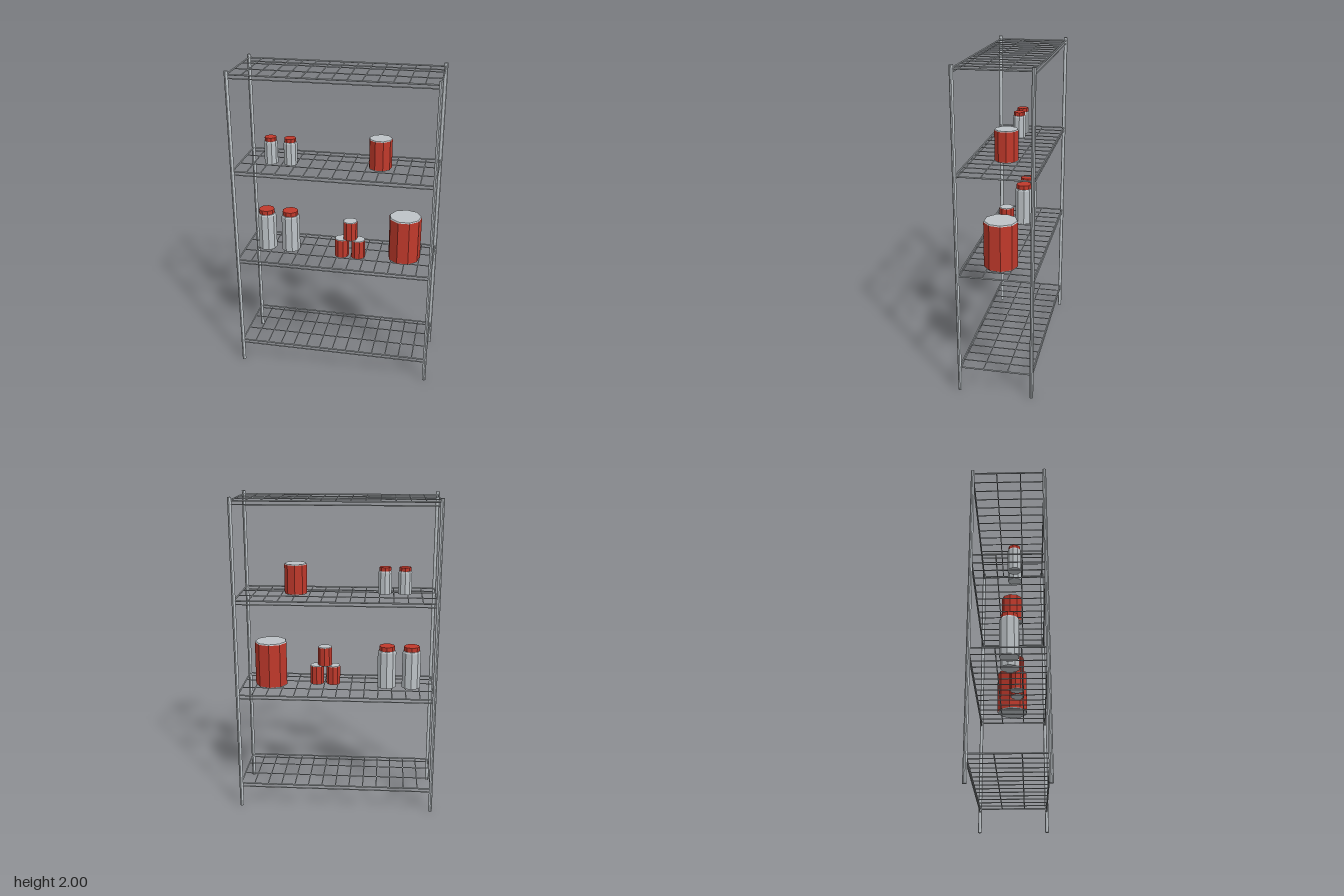
import * as THREE from 'three';

const makeMaterial = (name, color) => {
  const m = new THREE.MeshStandardMaterial({ color, flatShading: true });
  m.name = name;
  return m;
};

export function createModel() {
  const steel = makeMaterial('steel grey', 0xbdc3c7);
  const red = makeMaterial('red', 0xc0392b);
  const root = new THREE.Group();
  root.name = 'wireShelfUnit';

  const HX = 0.617, HZ = 0.223;          // post positions
  const SHELVES = [0.159, 0.771, 1.381, 1.979];
  const SIDES = 9;

  const add = (parent, name, geometry, material) => {
    const mesh = new THREE.Mesh(geometry, material);
    mesh.name = name;
    parent.add(mesh);
    return mesh;
  };
  const group = (name, x, y, z) => {
    const g = new THREE.Group();
    g.name = name;
    g.position.set(x, y, z);
    root.add(g);
    return g;
  };

  // Straight rod along x or z
  const rod = (parent, name, axis, length, r, x, y, z) => {
    const geo = new THREE.CylinderGeometry(r, r, length, 8);
    if (axis === 'x') geo.rotateZ(Math.PI / 2);
    else geo.rotateX(Math.PI / 2);
    add(parent, name, geo, steel).position.set(x, y, z);
  };

  // Nine-sided drum from y0 to y1 with a corner pointing to the back
  const drum = (parent, name, rBottom, rTop, y0, y1, material, open = false) => {
    const geo = new THREE.CylinderGeometry(rTop, rBottom, y1 - y0, SIDES, 1, open);
    geo.rotateY(Math.PI);
    add(parent, name, geo, material).position.y = (y0 + y1) / 2;
  };

  // Corner posts
  for (const x of [-HX, HX]) for (const z of [-HZ, HZ]) {
    add(root, 'post', new THREE.CylinderGeometry(0.012, 0.012, 2, 10), steel).position.set(x, 1, z);
  }

  // Wire shelves: frame, lower long rails and the wire grid
  for (const y of SHELVES) {
    const shelf = group('shelf', 0, y, 0);
    for (const s of [-1, 1]) {
      rod(shelf, 'longRail', 'x', 2 * HX, 0.005, 0, 0, s * HZ);
      rod(shelf, 'lowerRail', 'x', 2 * HX, 0.004, 0, -0.022, s * HZ);
      rod(shelf, 'endRail', 'z', 2 * HZ, 0.005, s * HX, 0, 0);
      rod(shelf, 'longWire', 'x', 2 * HX, 0.0035, 0, 0, s * HZ / 3);
    }
    for (let i = 1; i < 14; i++) {
      rod(shelf, 'crossWire', 'z', 2 * HZ, 0.0035, -HX + (i / 14) * 2 * HX, 0, 0);
    }
  }

  // Red can with thin bevelled steel ends
  const can = (x, y, z, r, h) => {
    const g = group('can', x, y, z);
    const e = 0.05 * r + 0.002;
    drum(g, 'canBottom', r * 0.96, r, 0, e, steel);
    drum(g, 'canWall', r, r, e, h - e, red, true);
    drum(g, 'canTop', r, r * 0.96, h - e, h, steel);
  };

  // Steel jar with a bevelled shoulder and a red lid
  const jar = (x, y, z, r, h, lidR, lidH) => {
    const g = group('jar', x, y, z);
    const e = 0.01;
    drum(g, 'jarBody', r, r, 0, h - e, steel);
    drum(g, 'jarShoulder', r, r * 0.93, h - e, h, steel);
    drum(g, 'jarLid', lidR, lidR, h, h + lidH, red);
  };

  // Goods on the second shelf
  const y2 = 0.775;
  can(0.431, y2, 0, 0.104, 0.295);
  can(0.03, y2, 0.038, 0.046, 0.126);
  can(0.136, y2, 0.038, 0.046, 0.126);
  can(0.084, y2 + 0.126, 0.038, 0.046, 0.126);
  for (const x of [-0.476, -0.318]) jar(x, y2, 0.002, 0.06, 0.246, 0.051, 0.028);

  // Goods on the third shelf
  const y3 = 1.385;
  can(0.262, y3, 0, 0.072, 0.192);
  for (const x of [-0.422, -0.297]) jar(x, y3, 0.031, 0.043, 0.146, 0.037, 0.023);

  return root;
}
